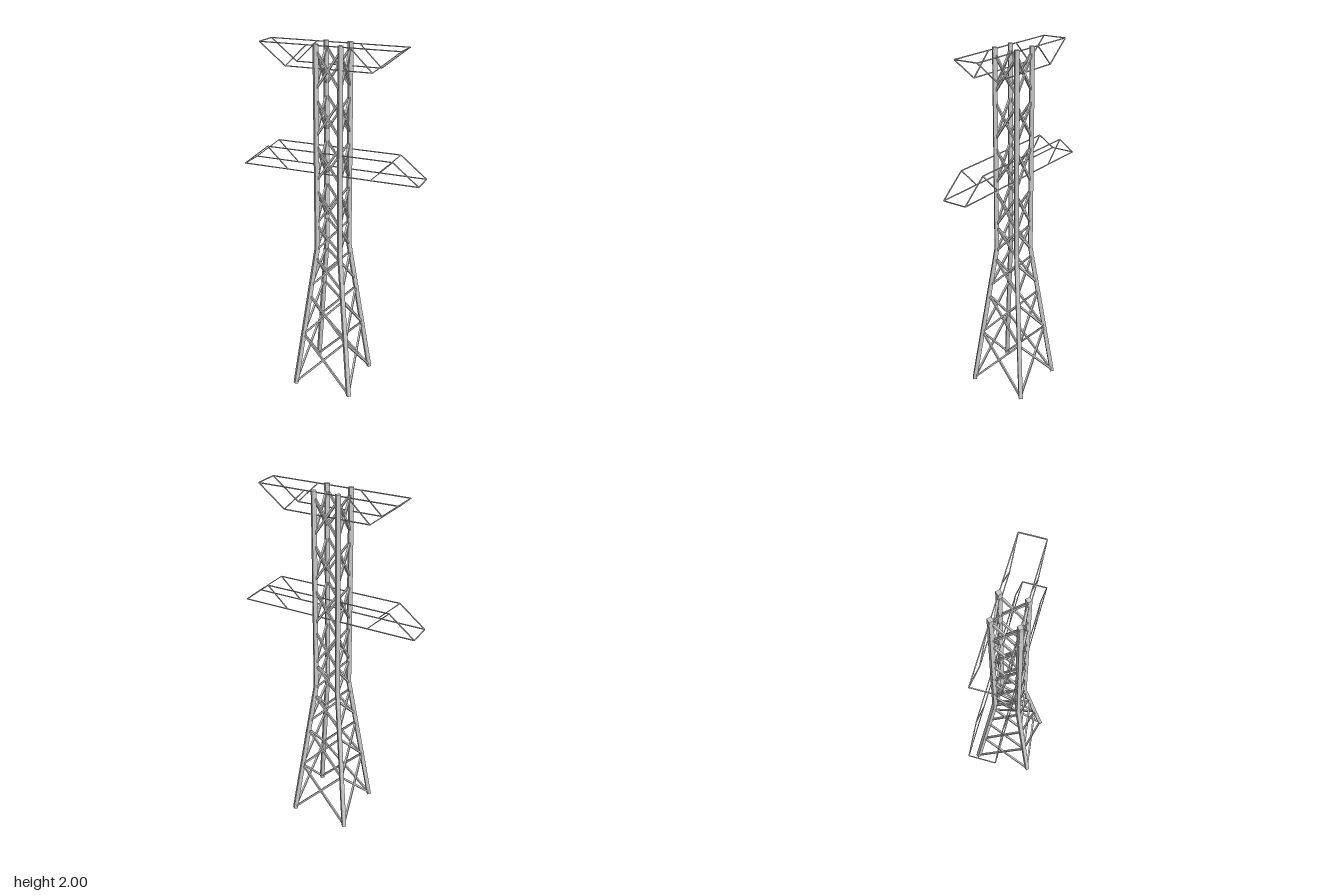
import * as THREE from 'three';

const STEEL = new THREE.MeshStandardMaterial({ color: 0xcccccc, flatShading: true });
const WAIST = 0.87, TOP = 2, FOOT = 0.17, NECK = 0.068;

// Half width of the tower at height y
const half = (y) => (y < WAIST ? THREE.MathUtils.lerp(FOOT, NECK, y / WAIST) : NECK);

// Square bar between two points, with its cross-section turned about its own axis
function bar(name, a, b, size, twist = 0) {
  const from = new THREE.Vector3(...a), to = new THREE.Vector3(...b);
  const dir = to.clone().sub(from);
  const geometry = new THREE.BoxGeometry(size, dir.length(), size);
  geometry.rotateY(twist);
  const mesh = new THREE.Mesh(geometry, STEEL);
  mesh.name = name;
  mesh.position.copy(from).add(to).multiplyScalar(0.5);
  mesh.quaternion.setFromUnitVectors(new THREE.Vector3(0, 1, 0), dir.normalize());
  return mesh;
}

// Truss arm: outer chord is the long one, inner chord the short one
function crossArm(name, long, short, inner) {
  const arm = new THREE.Group();
  arm.name = name;
  const t = 0.005;
  for (const z of [-NECK, NECK]) {
    arm.add(bar('longChord', [-long.x, long.y, z], [long.x, long.y, z], t));
    arm.add(bar('shortChord', [-short.x, short.y, z], [short.x, short.y, z], t));
    for (const s of [-1, 1]) {
      arm.add(bar('endStrut', [s * long.x, long.y, z], [s * short.x, short.y, z], t));
      arm.add(bar('innerStrut', [s * short.x, short.y, z], [s * inner, long.y, z], t));
    }
  }
  for (const s of [-1, 1]) {
    arm.add(bar('endTie', [s * long.x, long.y, -NECK], [s * long.x, long.y, NECK], t));
  }
  return arm;
}

export function createModel() {
  const tower = new THREE.Group();
  tower.name = 'latticeTower';

  // Four corner legs: splayed below the waist, upright above
  for (const sx of [-1, 1]) {
    for (const sz of [-1, 1]) {
      const leg = new THREE.Group();
      leg.name = 'leg';
      leg.add(bar('lowerLeg', [sx * FOOT, 0.002, sz * FOOT], [sx * NECK, WAIST, sz * NECK], 0.023, Math.PI / 4));
      leg.add(bar('upperLeg', [sx * NECK, WAIST - 0.005, sz * NECK], [sx * NECK, TOP, sz * NECK], 0.023, Math.PI / 4));
      tower.add(leg);
    }
  }

  // X braces, [bottom, top] height of each panel
  const panels = [[0.01, 0.33], [0.33, 0.58], [0.64, 0.815], [0.86, 1.01]];
  for (let i = 0; i < 4; i++) panels.push([1.02 + i * 0.25, 1.22 + i * 0.25]);

  // The same bracing on all four faces
  for (let f = 0; f < 4; f++) {
    const face = new THREE.Group();
    face.name = 'bracedFace';
    face.rotation.y = f * Math.PI / 2;
    for (const [lo, hi] of panels) {
      const a = half(lo), b = half(hi);
      for (const s of [-1, 1]) {
        face.add(bar('brace', [-s * a, lo, a], [s * b, hi, b], 0.011));
      }
    }
    tower.add(face);
  }

  // Two cross arms carrying the lines
  tower.add(crossArm('upperArm', { x: 0.387, y: 1.992 }, { x: 0.24, y: 1.877 }, 0.12));
  tower.add(crossArm('lowerArm', { x: 0.505, y: 1.315 }, { x: 0.36, y: 1.43 }, 0.24));
  return tower;
}
